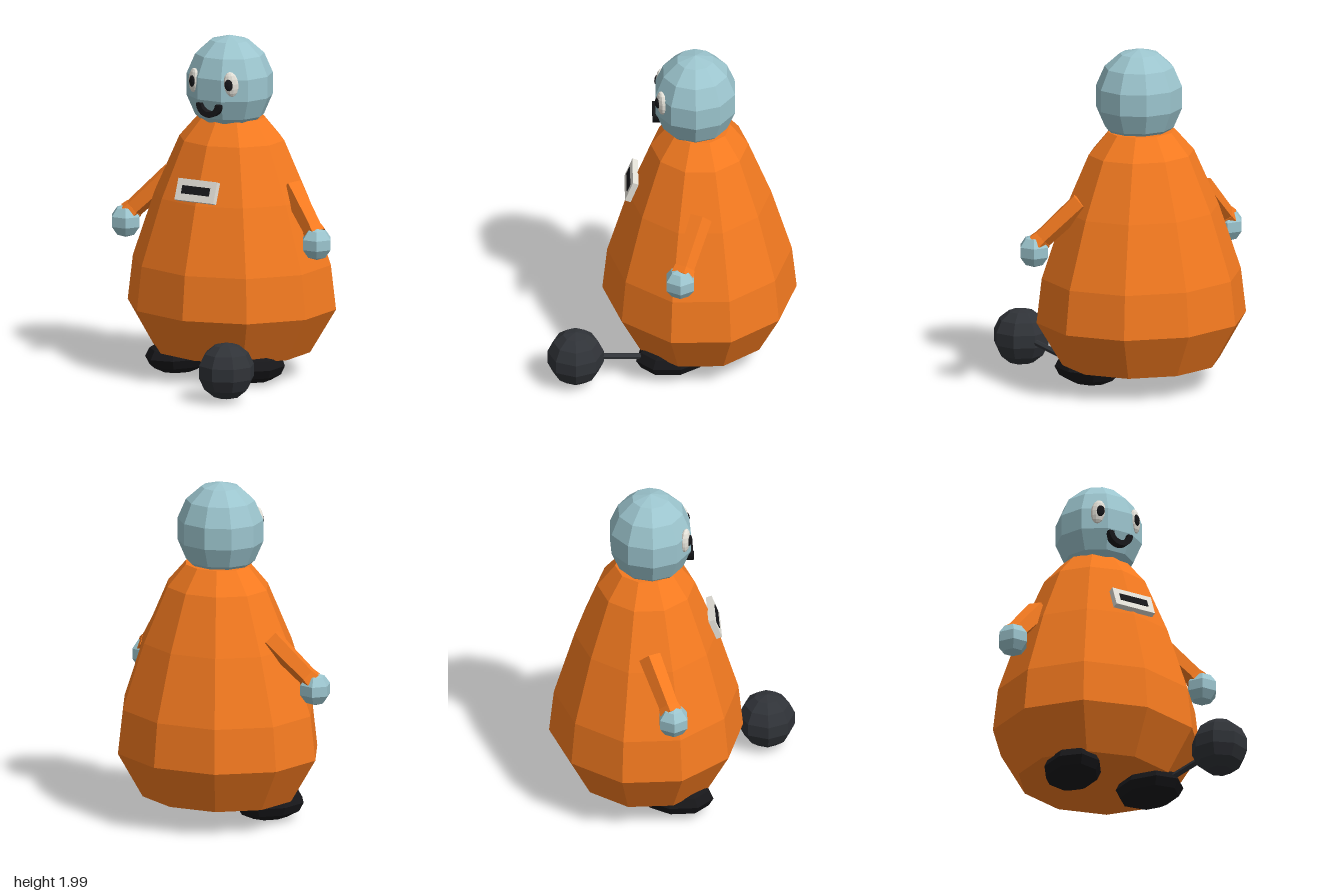
import * as THREE from 'three';

const mat = (color) => new THREE.MeshStandardMaterial({ color, flatShading: true });
const orange = mat(0xf47a20), blue = mat(0x9cc5ce), black = mat(0x17171a);
const iron = mat(0x303338), white = mat(0xe6e3da);

export function createModel() {
  const model = new THREE.Group();

  const add = (name, geometry, material, [x, y, z], parent = model) => {
    const mesh = new THREE.Mesh(geometry, material);
    mesh.name = name;
    mesh.position.set(x, y, z);
    parent.add(mesh);
    return mesh;
  };
  // Straight bar between two points
  const bar = (name, a, b, r0, r1, sides, material) => {
    const from = new THREE.Vector3(...a), to = new THREE.Vector3(...b);
    const dir = to.clone().sub(from);
    const mid = from.clone().add(to).multiplyScalar(0.5);
    const mesh = add(name, new THREE.CylinderGeometry(r1, r0, dir.length(), sides), material, mid.toArray());
    mesh.quaternion.setFromUnitVectors(new THREE.Vector3(0, 1, 0), dir.normalize());
    return mesh;
  };

  // Ten-sided bell-shaped body, a little shallower than wide
  const profile = [[0, 0.15], [0.47, 0.15], [0.626, 0.41], [0.595, 0.67], [0.462, 1.06],
    [0.315, 1.39], [0.2, 1.52], [0, 1.52]].map(([r, y]) => new THREE.Vector2(r, y));
  add('body', new THREE.LatheGeometry(profile, 10), orange, [0, 0, -0.165]).scale.z = 0.895;

  // Head
  add('head', new THREE.SphereGeometry(0.26, 10, 7), blue, [0, 1.715, -0.14]).scale.set(1, 1.096, 0.95);

  // Smile: flat half ring
  const smile = new THREE.Shape();
  smile.absarc(0, 0, 0.08, Math.PI, Math.PI * 2, false);
  smile.absarc(0, 0, 0.047, Math.PI * 2, Math.PI, true);
  add('mouth', new THREE.ExtrudeGeometry(smile, { depth: 0.045, bevelEnabled: false, curveSegments: 8 }),
    black, [0, 1.635, 0.062]);

  // Chest badge with a dark slot, leaning back with the body
  const badge = new THREE.Group();
  badge.name = 'badge';
  badge.position.set(0, 1.143, 0.227);
  badge.rotation.x = -0.37;
  add('badgePlate', new THREE.BoxGeometry(0.26, 0.128, 0.035), white, [0, 0, 0], badge);
  add('badgeSlot', new THREE.BoxGeometry(0.185, 0.048, 0.02), black, [0, 0, 0.012], badge);
  model.add(badge);

  for (const s of [1, -1]) {
    const side = s > 0 ? 'left' : 'right';

    // Eye turned to follow the face
    const eye = new THREE.Group();
    eye.name = side + 'Eye';
    eye.position.set(s * 0.124, 1.755, 0.055);
    eye.rotation.set(0, s * 0.5, s * 0.1);
    add('eyeWhite', new THREE.SphereGeometry(1, 10, 8), white, [0, 0, 0], eye).scale.set(0.043, 0.074, 0.025);
    add('pupil', new THREE.SphereGeometry(1, 8, 6), black, [-s * 0.012, 0, 0.02], eye).scale.set(0.025, 0.035, 0.013);
    model.add(eye);

    // Arm, cuff and hand
    bar(side + 'Arm', [s * 0.4, 1.14, -0.165], [s * 0.63, 0.9, -0.055], 0.068, 0.058, 5, orange);
    bar(side + 'Cuff', [s * 0.6, 0.93, -0.07], [s * 0.628, 0.9, -0.056], 0.062, 0.07, 5, orange);
    add(side + 'Hand', new THREE.SphereGeometry(0.096, 6, 5), blue, [s * 0.64, 0.855, -0.045]);

    // Flattened foot, toes turned slightly outward
    const foot = add(side + 'Foot', new THREE.SphereGeometry(1, 8, 6), black, [s * 0.26, 0.11, -0.005]);
    foot.scale.set(0.168, 0.1, 0.22);
    foot.rotation.y = s * 0.3;
  }

  // Ball tied to the left foot
  add('ball', new THREE.SphereGeometry(0.167, 8, 7), iron, [0.39, 0.187, 0.555]);
  bar('ballRod', [0.29, 0.12, 0.1], [0.385, 0.185, 0.42], 0.018, 0.018, 6, iron);

  return model;
}
